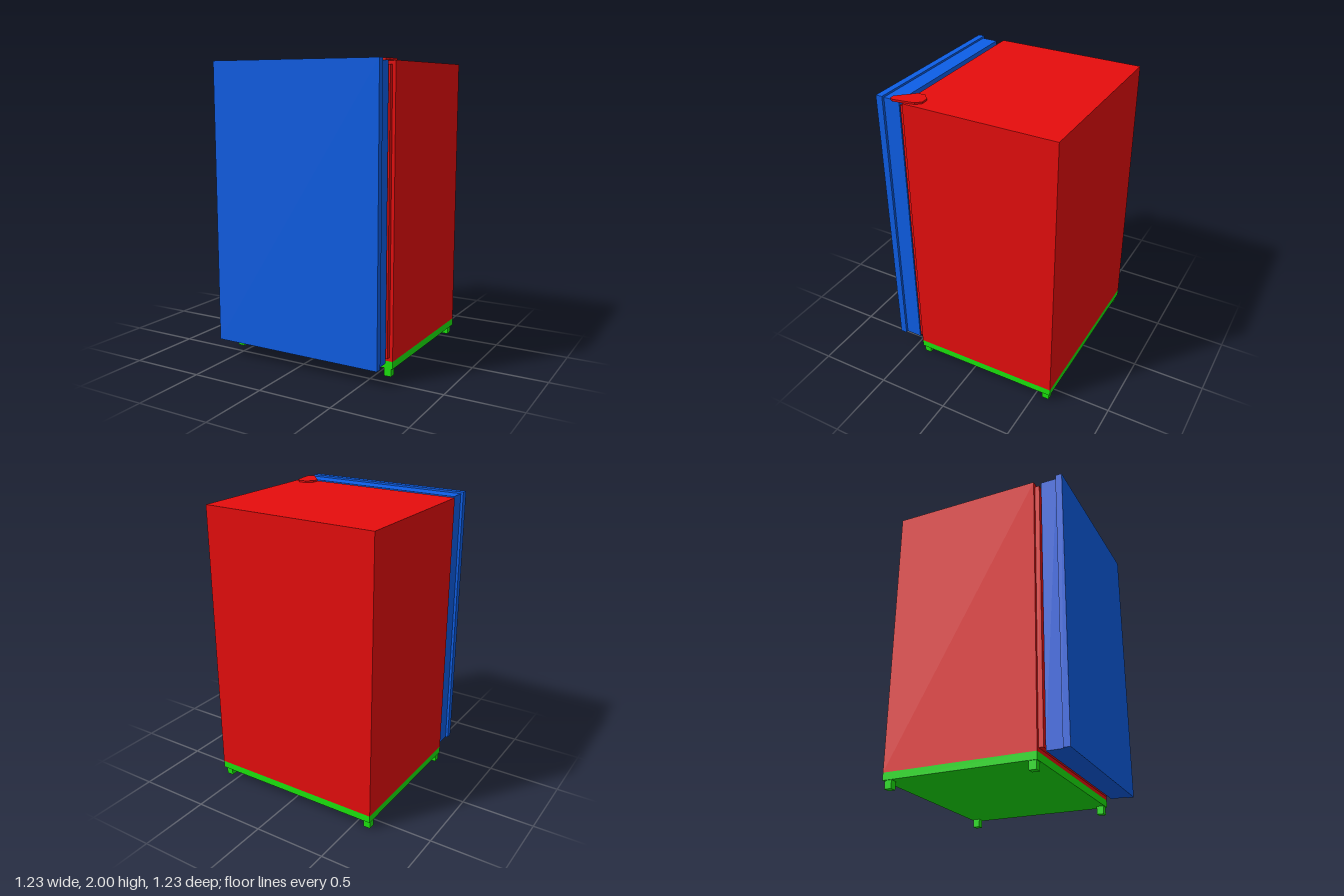
import * as THREE from 'three';

export function createModel() {
  const model = new THREE.Group();
  model.name = 'miniFridge';
  const red = new THREE.MeshStandardMaterial({ color: 0xe60d0d });
  const blue = new THREE.MeshStandardMaterial({ color: 0x0d5ee6 });
  const green = new THREE.MeshStandardMaterial({ color: 0x1be60d });

  // Box given by its extents along each axis
  function box(name, material, [x0, x1], [y0, y1], [z0, z1], parent = model) {
    const mesh = new THREE.Mesh(new THREE.BoxGeometry(x1 - x0, y1 - y0, z1 - z0), material);
    mesh.position.set((x0 + x1) / 2, (y0 + y1) / 2, (z0 + z1) / 2);
    mesh.name = name;
    parent.add(mesh);
    return mesh;
  }

  // Cabinet with a slightly inset rim facing the door
  box('cabinet', red, [-0.617, 0.617], [0.105, 1.988], [-0.617, 0.418]);
  box('cabinetRim', red, [-0.595, 0.595], [0.13, 1.963], [0.418, 0.449]);

  // Door: outer panel and narrower inner liner
  const door = new THREE.Group();
  door.name = 'door';
  model.add(door);
  box('doorPanel', blue, [-0.609, 0.607], [0.105, 1.998], [0.572, 0.617], door);
  box('doorLiner', blue, [-0.591, 0.589], [0.105, 1.985], [0.461, 0.572], door);

  // Base plinth and four square feet
  box('base', green, [-0.617, 0.617], [0.055, 0.105], [-0.617, 0.418]);
  for (const x of [-0.587, 0.579]) {
    for (const z of [-0.578, 0.387]) {
      box('foot', green, [x - 0.024, x + 0.024], [0, 0.055], [z - 0.024, z + 0.024]);
    }
  }

  // Hinge plate across cabinet and door, outlined as x, z
  const outline = [
    [0.465, 0.353], [0.508, 0.313], [0.558, 0.31], [0.591, 0.343], [0.601, 0.4],
    [0.614, 0.492], [0.598, 0.515], [0.568, 0.515], [0.465, 0.406],
  ];
  const shape = new THREE.Shape(outline.map(([x, z]) => new THREE.Vector2(x, -z)));
  const plate = new THREE.ExtrudeGeometry(shape, { depth: 0.014, bevelEnabled: false });
  plate.rotateX(-Math.PI / 2);
  const hinge = new THREE.Mesh(plate, red);
  hinge.position.y = 1.986;
  hinge.name = 'hingePlate';
  model.add(hinge);

  return model;
}
